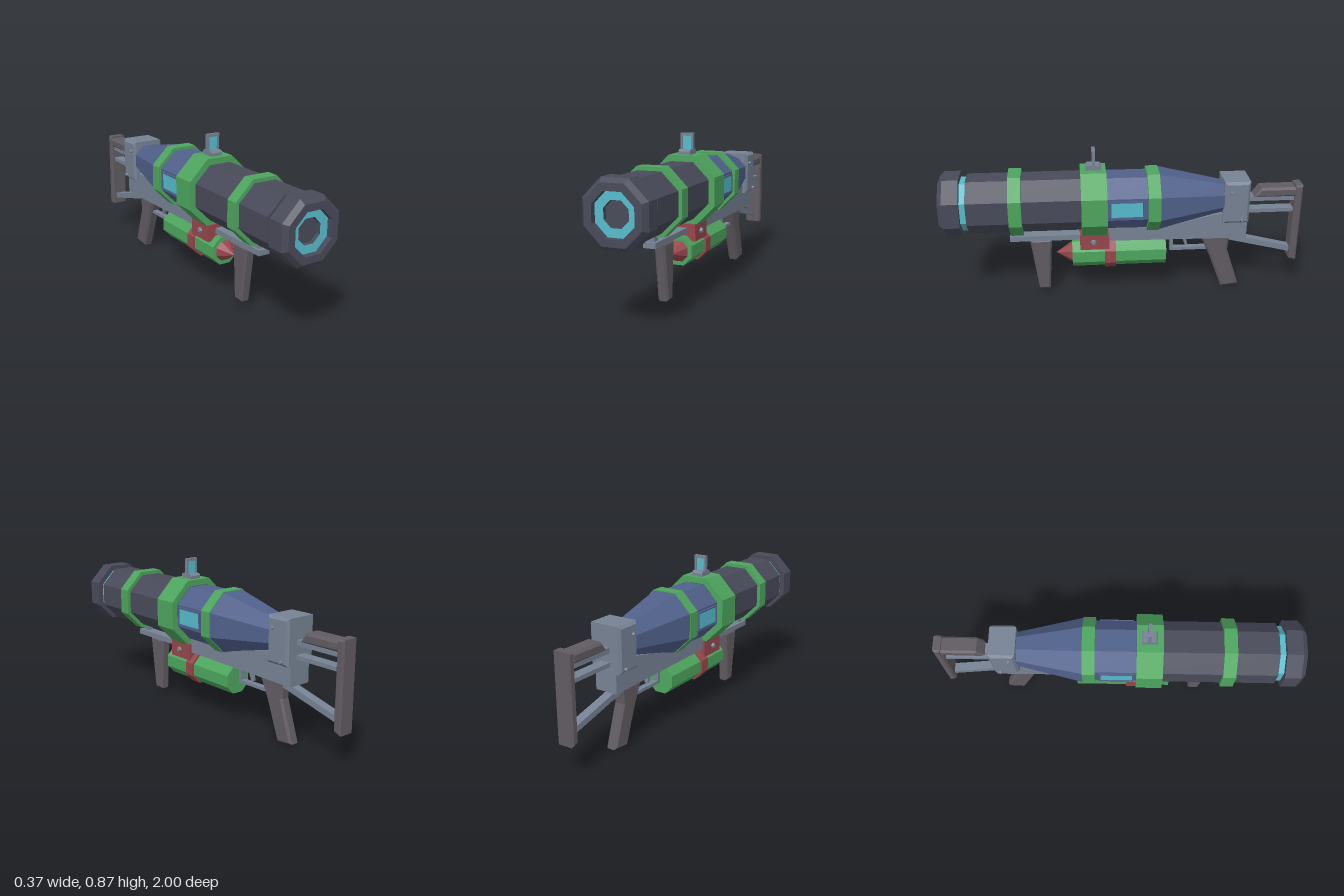
import * as THREE from 'three';

const mat = (name, color) => {
  const m = new THREE.MeshStandardMaterial({ color });
  m.name = name;
  return m;
};

export function createModel() {
  const dark = mat('charcoal', 0x484a59);
  const green = mat('green', 0x4da55e);
  const blue = mat('slate blue', 0x50608a);
  const grey = mat('steel grey', 0x768294);
  const red = mat('dark red', 0x96464c);
  const brown = mat('warm grey', 0x605b61);
  const cyan = mat('cyan', 0x55bbcc);

  const model = new THREE.Group();
  const AXIS = 0.572; // height of the barrel axis
  const TANK = 0.252; // height of the tank axis

  const add = (name, geometry, material, x = 0, y = 0, z = 0) => {
    const flat = geometry.index ? geometry.toNonIndexed() : geometry;
    flat.computeVertexNormals();
    const mesh = new THREE.Mesh(flat, material);
    mesh.name = name;
    mesh.position.set(x, y, z);
    model.add(mesh);
    return mesh;
  };

  // Octagonal solid along z; profile is [apothem, z] from back to front
  const octagon = (name, material, y, profile) => {
    const k = 1 / Math.cos(Math.PI / 8);
    const points = profile.map(([a, z]) => new THREE.Vector2(a * k, z));
    const g = new THREE.LatheGeometry(points, 8, Math.PI / 8);
    g.rotateX(Math.PI / 2);
    return add(name, g, material, 0, y, 0);
  };
  const prism = (name, material, y, a, z0, z1) =>
    octagon(name, material, y, [[0, z0], [a, z0], [a, z1], [0, z1]]);

  // Box given by its ranges in y and z, centred on x
  const block = (name, material, width, y0, y1, z0, z1, x = 0) =>
    add(name, new THREE.BoxGeometry(width, y1 - y0, z1 - z0), material, x, (y0 + y1) / 2, (z0 + z1) / 2);

  // Side outline in [z, y] extruded across x, with optional bevel
  const slab = (name, material, width, outline, bevel = 0) => {
    const shape = new THREE.Shape(outline.map(([z, y]) => new THREE.Vector2(z, y)));
    const depth = width - 2 * bevel;
    const g = new THREE.ExtrudeGeometry(shape, {
      depth, bevelEnabled: bevel > 0, bevelSize: bevel, bevelThickness: bevel, bevelOffset: -bevel, bevelSegments: 1,
    });
    g.translate(0, 0, -depth / 2);
    g.rotateY(-Math.PI / 2);
    return add(name, g, material);
  };

  // Six-sided bolt on each side
  const bolts = (name, x, y, z, radius) => {
    for (const s of [-1, 1]) {
      const g = new THREE.CylinderGeometry(radius * 0.55, radius, 0.024, 6);
      g.rotateZ(-s * Math.PI / 2);
      add(name, g, grey, s * x, y, z);
    }
  };

  // Barrel and muzzle
  prism('barrel', dark, AXIS, 0.152, 0.1, 0.855);
  prism('muzzleNeck', cyan, AXIS, 0.137, 0.85, 0.895);
  octagon('muzzleCap', dark, AXIS, [
    [0.1, 0.888], [0.167, 0.888], [0.167, 0.975], [0.145, 1], [0.108, 1], [0.108, 0.965],
  ]);
  octagon('muzzleRing', cyan, AXIS, [[0.11, 0.968], [0.064, 0.968]]);
  octagon('bore', dark, AXIS, [[0.064, 0.968], [0.064, 0.945], [0, 0.945]]);

  // Body, tail cone and green bands
  prism('body', blue, AXIS, 0.15, -0.19, 0.11);
  octagon('tailCone', blue, AXIS, [[0, -0.56], [0.083, -0.56], [0.163, -0.188], [0, -0.188]]);
  prism('frontBand', green, AXIS, 0.172, 0.56, 0.63);
  prism('middleBand', green, AXIS, 0.186, 0.1, 0.24);
  prism('rearBand', green, AXIS, 0.167, -0.19, -0.122);

  // Side windows with raised frames
  for (const s of [-1, 1]) {
    const x = s * 0.153;
    block('windowPane', cyan, 0.006, 0.53, 0.615, -0.092, 0.078, x);
    for (const y of [0.522, 0.615]) block('windowFrame', blue, 0.016, y, y + 0.008, -0.1, 0.086, x);
    for (const z of [-0.1, 0.078]) block('windowFrame', blue, 0.016, 0.522, 0.623, z, z + 0.008, x);
  }

  // Receiver and rear housing
  slab('receiver', grey, 0.13, [
    [0.09, 0.43], [0.09, 0.345], [-0.69, 0.335], [-0.69, 0.46], [-0.56, 0.49], [-0.5, 0.485], [-0.2, 0.415],
  ]);
  slab('rearHousing', grey, 0.19, [[-0.548, 0.44], [-0.548, 0.686], [-0.692, 0.686], [-0.692, 0.44]], 0.014);
  bolts('housingBolt', 0.095, 0.626, -0.587, 0.014);
  bolts('housingBolt', 0.095, 0.462, -0.652, 0.014);

  // Front rail, its post and the front grip
  block('frontRail', grey, 0.066, 0.342, 0.372, 0.08, 0.64);
  block('railPost', grey, 0.036, 0.37, 0.43, 0.577, 0.617);
  slab('frontGrip', brown, 0.06, [[0.53, 0.343], [0.408, 0.343], [0.427, 0.03], [0.49, 0.03]], 0.011);

  // Rear grip, trigger and guard
  slab('rearGrip', brown, 0.064, [
    [-0.435, 0.337], [-0.605, 0.337], [-0.597, 0.24], [-0.672, 0.012], [-0.57, 0], [-0.49, 0.215],
  ], 0.012);
  block('triggerGuard', grey, 0.034, 0.245, 0.262, -0.475, -0.262);
  block('guardPost', grey, 0.034, 0.25, 0.345, -0.28, -0.262);
  slab('trigger', grey, 0.02, [[-0.325, 0.345], [-0.35, 0.345], [-0.365, 0.275], [-0.352, 0.27]]);

  // Tank under the barrel with nose and bracket
  prism('tank', green, TANK, 0.077, -0.235, 0.295);
  octagon('tankNose', red, TANK, [[0, 0.294], [0.056, 0.294], [0, 0.385]]);
  prism('tankStrap', red, TANK, 0.087, 0.05, 0.112);
  block('bracket', red, 0.16, 0.3, 0.393, 0.088, 0.25);
  bolts('bracketBolt', 0.081, 0.347, 0.175, 0.022);

  // Sight: base, open frame and glass
  slab('sightBase', grey, 0.066, [[0.21, 0.75], [0.21, 0.775], [0.2, 0.785], [0.135, 0.785], [0.125, 0.775], [0.125, 0.75]]);
  for (const s of [-1, 1]) block('sightFrameSide', grey, 0.012, 0.783, 0.871, 0.157, 0.175, s * 0.031);
  block('sightFrameTop', grey, 0.05, 0.855, 0.871, 0.157, 0.175);
  block('sightGlass', cyan, 0.05, 0.783, 0.855, 0.162, 0.17);

  // Shoulder stock
  block('upperRod', grey, 0.06, 0.545, 0.574, -0.97, -0.68);
  block('middleRod', grey, 0.06, 0.474, 0.496, -0.97, -0.68);
  slab('lowerStrut', grey, 0.05, [[-0.6, 0.34], [-0.975, 0.245], [-0.975, 0.212], [-0.6, 0.305]]);
  slab('cheekRest', brown, 0.096, [[-0.725, 0.572], [-0.765, 0.626], [-0.97, 0.626], [-0.97, 0.572]], 0.012);
  slab('shoulderPlate', brown, 0.1, [[-0.957, 0.18], [-0.957, 0.637], [-1, 0.637], [-1, 0.165]], 0.01);

  return model;
}
